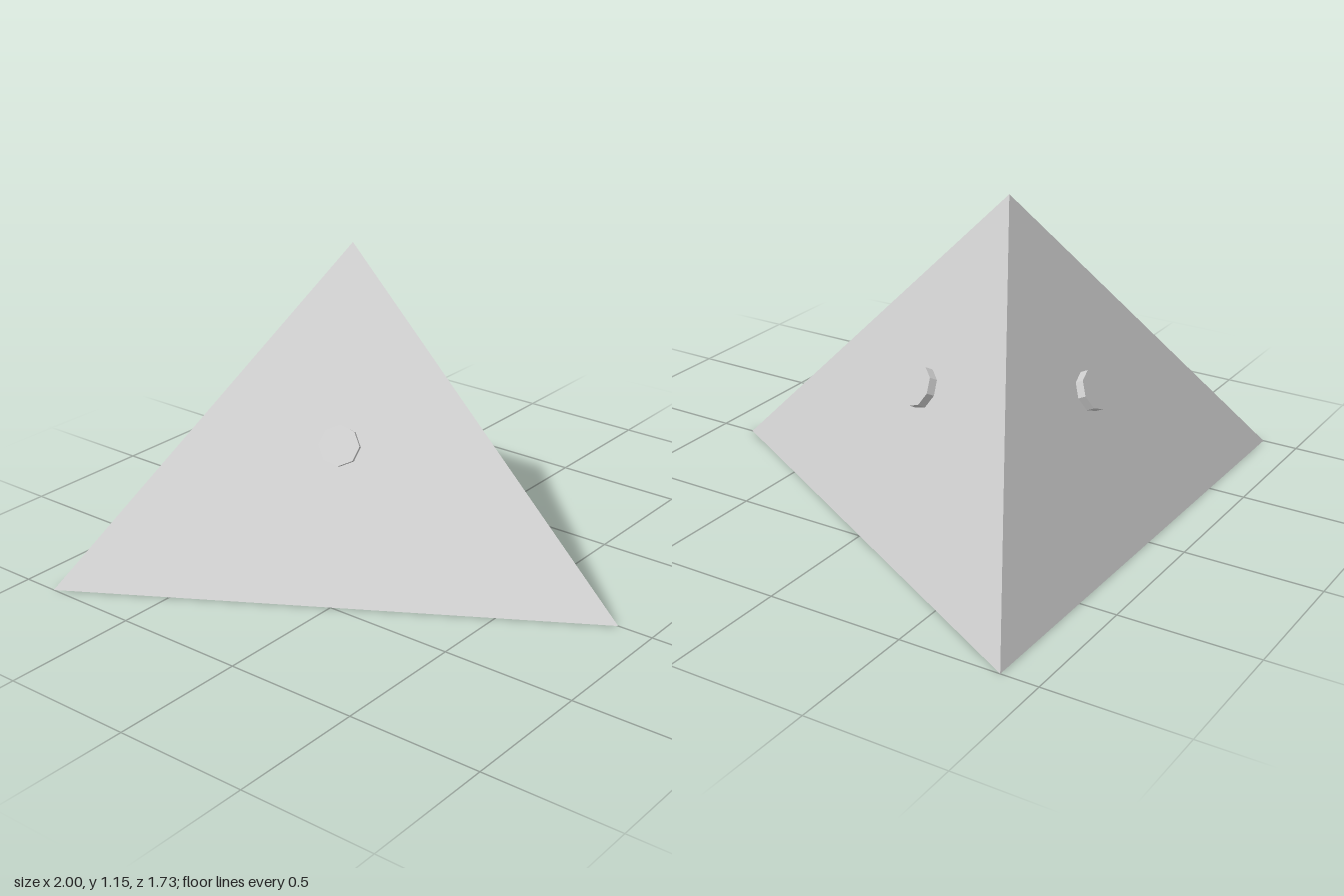
import * as THREE from 'three';

const HEIGHT = 1.155;
const RADIUS = 2 / Math.sqrt(3); // base triangle with sides of 2
const AXIS_Z = -RADIUS / 4;      // puts the base triangle midway in z
const TILT = Math.atan2(2, 1);   // lean of the face normals away from vertical

export function createModel() {
  const model = new THREE.Group();
  model.name = 'pyramidWithStuds';
  const material = new THREE.MeshStandardMaterial({ color: 0xcccccc, flatShading: true });

  // Three-sided pyramid, one corner pointing forward
  const body = new THREE.Mesh(new THREE.ConeGeometry(RADIUS, HEIGHT, 3), material);
  body.name = 'pyramid';
  body.position.set(0, HEIGHT / 2, AXIS_Z);
  model.add(body);

  // Octagonal stud standing 0.03 out of each sloping face, slightly sunk in
  const studGeometry = new THREE.CylinderGeometry(0.0725, 0.0725, 0.04, 8);
  studGeometry.translate(0, 0.01, 0);
  const studY = 0.506;
  const faceDistance = (HEIGHT - studY) / 2;
  [['leftStud', Math.PI / 3], ['backStud', Math.PI], ['rightStud', -Math.PI / 3]].forEach(([name, angle]) => {
    const mount = new THREE.Group();
    mount.name = name;
    mount.position.z = AXIS_Z;
    mount.rotation.y = angle;
    const stud = new THREE.Mesh(studGeometry, material);
    stud.name = name + 'Disc';
    stud.position.set(0, studY, faceDistance);
    stud.rotation.x = TILT;
    mount.add(stud);
    model.add(mount);
  });

  return model;
}
